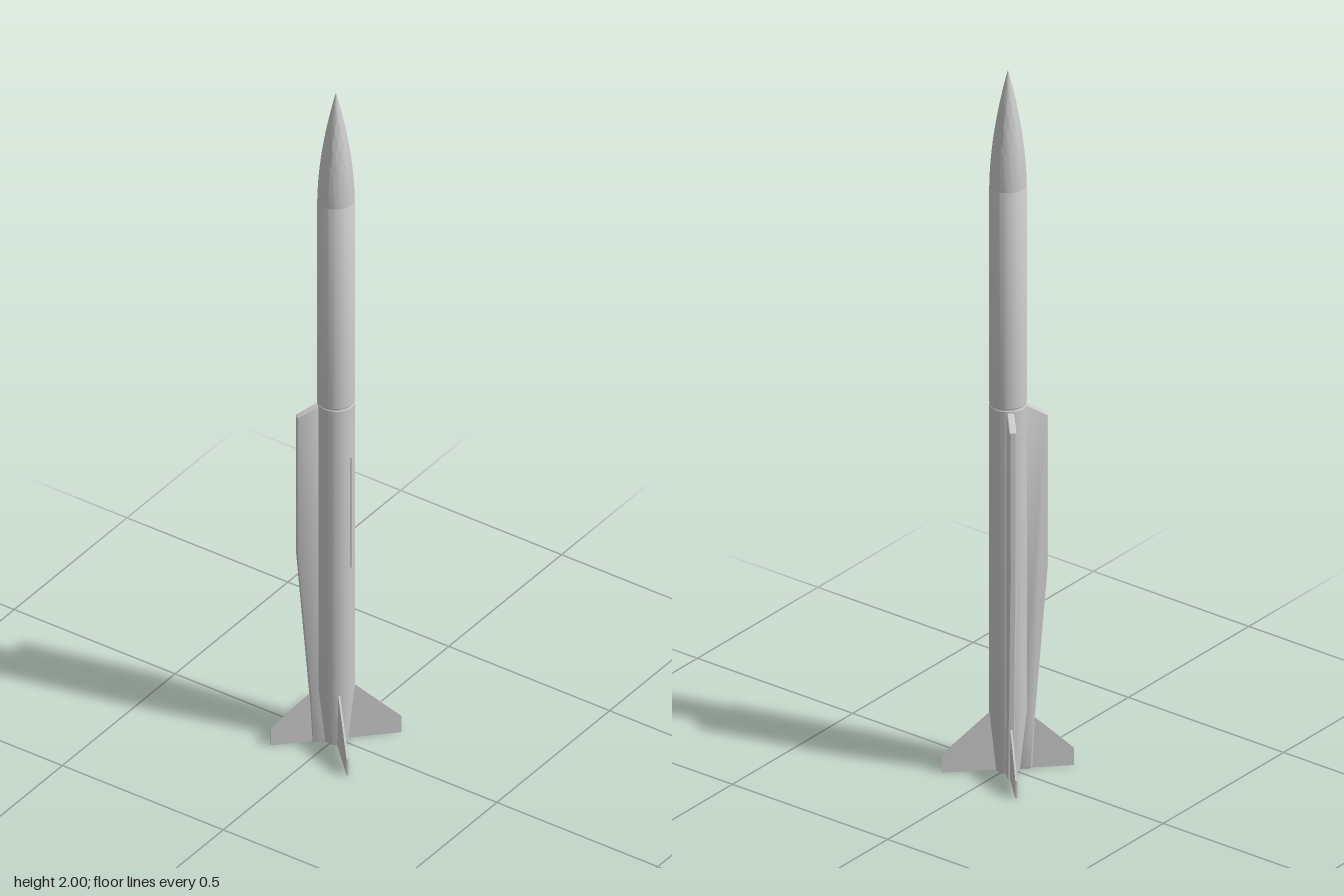
import * as THREE from 'three';
import { toCreasedNormals } from 'three/addons/utils/BufferGeometryUtils.js';

const R = 0.048;        // body radius
const NOSE_Y = 1.67;    // base of the nose
const material = new THREE.MeshStandardMaterial({ color: 0xcccccc });

function add(group, name, geometry) {
  const mesh = new THREE.Mesh(geometry, material);
  mesh.name = name;
  group.add(mesh);
  return mesh;
}

function lathe(points) {
  const profile = points.map(([r, y]) => new THREE.Vector2(r, y));
  return toCreasedNormals(new THREE.LatheGeometry(profile, 48), 0.5);
}

// Plate drawn as (radius, height), centred on its thickness
function plate(points, thickness, bevel = 0) {
  const shape = new THREE.Shape(points.map(([r, y]) => new THREE.Vector2(r, y)));
  const depth = thickness - 2 * bevel;
  const geometry = new THREE.ExtrudeGeometry(shape, {
    depth, bevelEnabled: bevel > 0, bevelSize: bevel, bevelThickness: bevel,
    bevelOffset: -bevel, bevelSegments: 4,
  });
  geometry.translate(0, 0, -depth / 2);
  return toCreasedNormals(geometry, 0.6);
}

export function createModel() {
  const model = new THREE.Group();
  model.name = 'missile';

  // Body with recessed nozzle, tapered tail and a joint groove
  add(model, 'body', lathe([
    [0, 0.06], [0.016, 0.06], [0.026, 0], [0.031, 0], [R, 0.165],
    [R, 1.044], [R - 0.0015, 1.046], [R - 0.0015, 1.05], [R, 1.052],
    [R, NOSE_Y - 0.003], [R - 0.001, NOSE_Y],
  ]));

  // Pointed ogive nose
  const ogive = [];
  for (let i = 0; i <= 20; i++) {
    const t = i / 20;
    ogive.push([(R - 0.0005) * (1 - Math.pow(t, 1.75)), NOSE_Y + (2 - NOSE_Y) * t]);
  }
  add(model, 'nose', lathe(ogive));

  // Four tail fins on the diagonals
  const fin = plate([[0.02, 0], [0.169, 0], [0.169, 0.05], [0.046, 0.165], [0.02, 0.165]], 0.005);
  for (let i = 0; i < 4; i++) {
    add(model, 'tailFin', fin).rotation.y = Math.PI / 4 + i * Math.PI / 2;
  }

  // Two rear intake ducts with sloped mouths and tapered tails
  const duct = plate([
    [0.02, 0], [0.061, 0], [0.068, 0.14], [0.102, 0.58],
    [0.102, 1.01], [0.05, 1.04], [0.02, 1.04],
  ], 0.02, 0.005);
  for (const side of [1, 3]) {
    add(model, 'intakeDuct', duct).rotation.y = side * Math.PI / 4;
  }

  // Thin rail along the front
  add(model, 'frontRail', new THREE.BoxGeometry(0.006, 0.34, 0.008)).position.set(0, 0.72, R - 0.002);

  return model;
}
